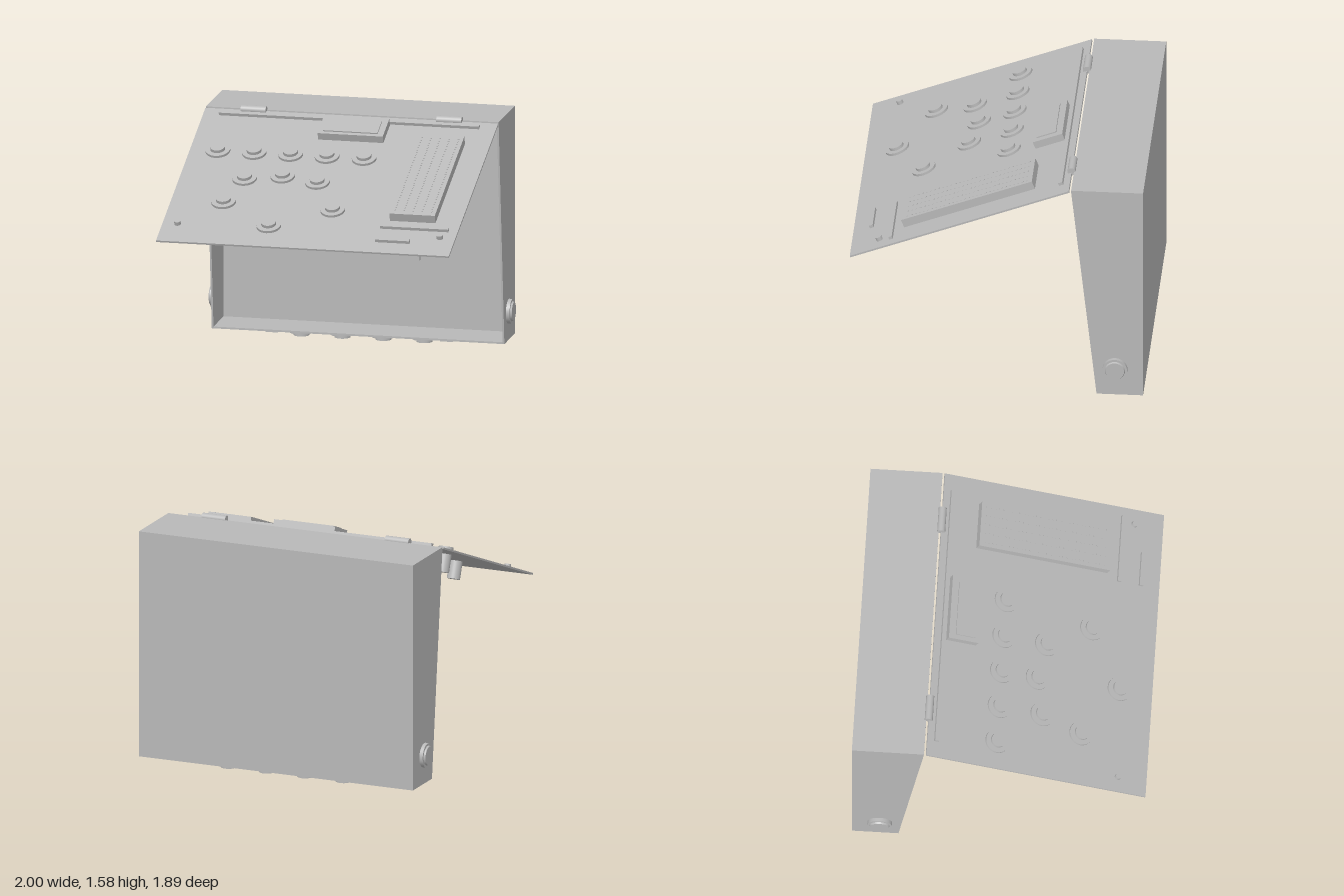
import * as THREE from 'three';
import { mergeGeometries } from 'three/addons/utils/BufferGeometryUtils.js';

const T = 0.012;                       // wall thickness
const HINGE_Y = 1.545, HINGE_Z = -0.465;
const TILT = Math.atan2(0.545, 1.41);  // lid slope

export function createModel() {
  const model = new THREE.Group();
  model.name = 'controlBox';
  const grey = new THREE.MeshStandardMaterial({ color: 0xb8b8b8 });
  grey.name = 'plain grey';

  const add = (parent, name, geo, x = 0, y = 0, z = 0) => {
    const m = new THREE.Mesh(geo, grey);
    m.name = name;
    m.position.set(x, y, z);
    parent.add(m);
    return m;
  };
  // box given by its limits on each axis
  const block = (parent, name, x0, x1, y0, y1, z0, z1) =>
    add(parent, name, new THREE.BoxGeometry(x1 - x0, y1 - y0, z1 - z0),
      (x0 + x1) / 2, (y0 + y1) / 2, (z0 + z1) / 2);
  const disc = (r0, r1, h) => new THREE.CylinderGeometry(r0, r1, h, 32);

  // ---- Open-fronted case ----
  const body = new THREE.Group();
  body.name = 'case';
  model.add(body);
  const W = 0.965, Y0 = 0.045, Y1 = 1.55, BACK = -0.945;
  // shape x runs towards the back, so it is turned to lie along -z
  const side = new THREE.Shape([
    new THREE.Vector2(0.645, Y0), new THREE.Vector2(-BACK, Y0),
    new THREE.Vector2(-BACK, Y1), new THREE.Vector2(0.48, Y1)]);
  const sideGeo = new THREE.ExtrudeGeometry(side, { depth: T, bevelEnabled: false });
  sideGeo.rotateY(Math.PI / 2);
  add(body, 'sideWall', sideGeo, W - T);
  add(body, 'sideWall', sideGeo, -W);
  const X = W - T;
  block(body, 'backWall', -X, X, Y0, Y1, BACK, BACK + T);
  block(body, 'topWall', -X, X, Y1 - T, Y1, BACK + T, -0.481);
  block(body, 'floor', -X, X, Y0, Y0 + T, BACK + T, -0.644);

  // circuit board on the back wall
  block(body, 'circuitBoard', -0.62, 0.345, 0.5, 1.1, BACK + T, -0.9);
  block(body, 'boardModule', -0.54, -0.11, 0.77, 0.98, -0.9, -0.875);
  block(body, 'boardChip', 0.025, 0.16, 0.8, 0.935, -0.9, -0.88);

  // side buttons
  for (const s of [-1, 1]) {
    const knob = new THREE.Group();
    knob.name = 'sideButton';
    knob.position.set(s * W, 0.235, -0.765);
    knob.rotation.z = -s * Math.PI / 2;
    body.add(knob);
    add(knob, 'buttonBase', disc(0.08, 0.08, 0.024), 0, 0.012);
    add(knob, 'buttonCap', disc(0.06, 0.065, 0.011), 0, 0.0295);
  }

  // sockets and feet underneath
  for (const x of [-0.405, -0.135, 0.135, 0.405]) {
    add(body, 'socketRing', disc(0.08, 0.08, 0.027), x, 0.0325, -0.785);
    add(body, 'socketCap', disc(0.052, 0.052, 0.02), x, 0.01, -0.785);
  }
  for (const x of [-0.575, 0.575])
    block(body, 'foot', x - 0.04, x + 0.04, 0.034, Y0, -0.7, -0.67);

  // hinge barrels
  for (const x of [-0.645, 0.645])
    add(model, 'hinge', disc(0.026, 0.026, 0.165), x, 1.55, HINGE_Z).rotation.z = Math.PI / 2;

  // ---- Sloping lid: local y is its outward normal, local z runs down it ----
  const lid = new THREE.Group();
  lid.name = 'lid';
  lid.position.set(0, HINGE_Y, HINGE_Z);
  lid.rotation.x = TILT;
  model.add(lid);
  // distance down the lid of a point at plan depth z and height h above the lid
  const down = (z, h = 0) => (z - HINGE_Z - h * Math.sin(TILT)) / Math.cos(TILT);
  const plate = (name, x0, x1, h0, h1, z0, z1) =>
    block(lid, name, x0, x1, h0, h1, down(z0, h1), down(z1, h1));

  block(lid, 'lidPanel', -W, W, -T, 0, 0, 1.512);

  // push buttons with their bodies below the panel
  const buttons = [
    [-0.78, -0.015], [-0.54, -0.015], [-0.3, -0.015], [-0.06, -0.015], [0.185, -0.015],
    [-0.54, 0.26], [-0.3, 0.215], [-0.06, 0.26],
    [-0.62, 0.515], [0.105, 0.54], [-0.27, 0.74]];
  for (const [x, z] of buttons) {
    const b = new THREE.Group();
    b.name = 'pushButton';
    b.position.set(x, 0, down(z, 0.02));
    lid.add(b);
    add(b, 'buttonRim', disc(0.08, 0.08, 0.016), 0, 0.008);
    add(b, 'buttonCap', disc(0.048, 0.048, 0.02), 0, 0.026);
    add(b, 'buttonBody', disc(0.043, 0.043, 0.12), 0, -0.07);
  }

  // display
  plate('displayFrame', -0.16, 0.27, 0, 0.05, -0.37, -0.18);
  plate('displayScreen', -0.13, 0.23, 0.05, 0.058, -0.325, -0.2);

  // contact board with rows of pins
  plate('contactBoard', 0.5, 0.8, 0, 0.057, -0.215, 0.628);
  const pins = [];
  for (const x of [0.53, 0.59, 0.65, 0.71, 0.77])
    for (let i = 0; i < 30; i++)
      pins.push(new THREE.BoxGeometry(0.008, 0.003, 0.01)
        .translate(x, 0.0585, down(-0.18 + i * 0.0265, 0.057)));
  add(lid, 'contactPins', mergeGeometries(pins));

  // raised strips
  plate('topStrip', -0.86, 0.855, 0, 0.02, -0.415, -0.388);
  plate('longStrip', 0.455, 0.905, 0, 0.02, 0.68, 0.702);
  plate('shortStrip', 0.455, 0.68, 0, 0.02, 0.82, 0.845);

  // screws
  for (const x of [-0.865, 0.865])
    add(lid, 'screw', disc(0.021, 0.021, 0.026), x, 0.013, down(0.77, 0.026));

  return model;
}
